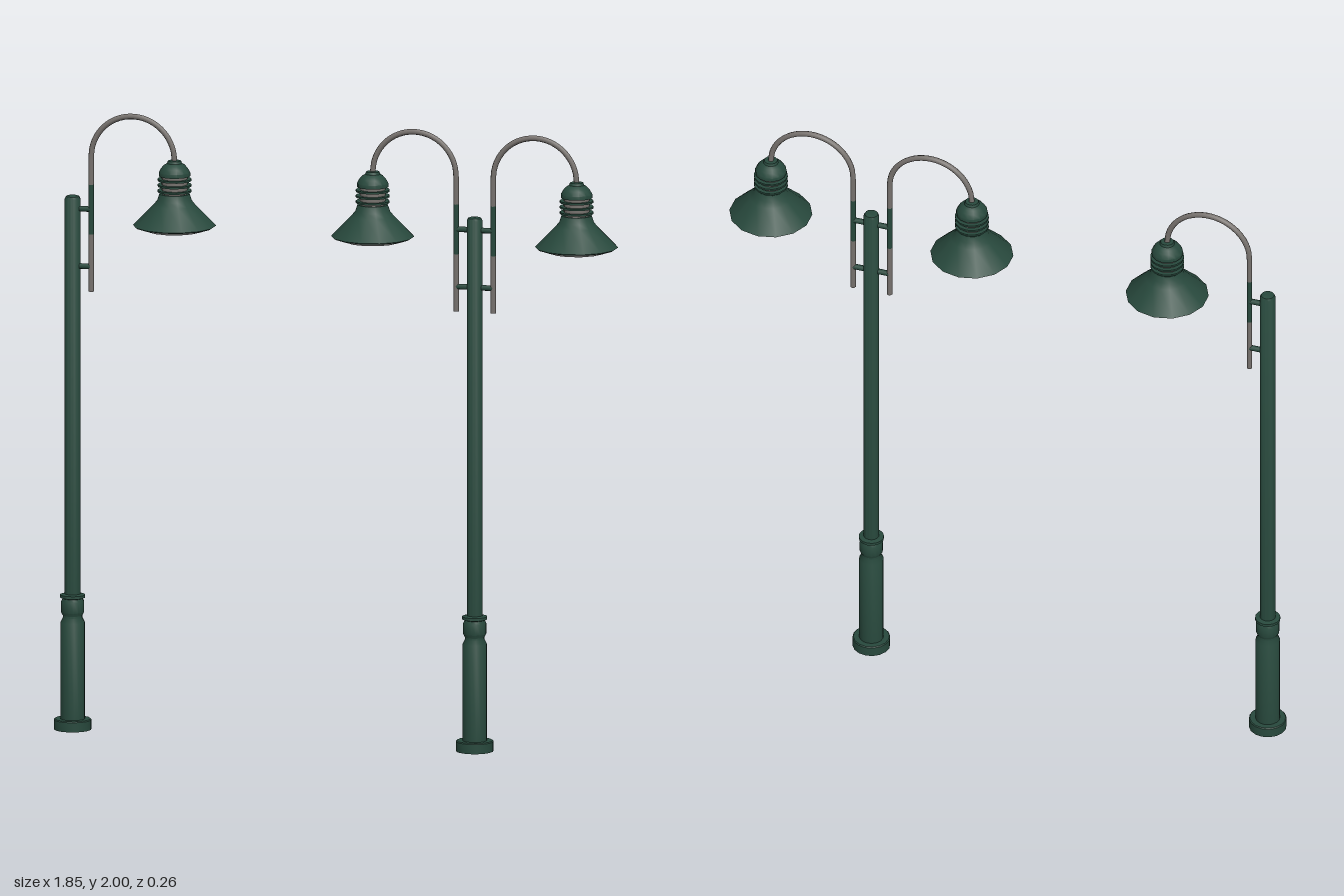
import * as THREE from 'three';
import { toCreasedNormals } from 'three/addons/utils/BufferGeometryUtils.js';

const paint = new THREE.MeshStandardMaterial({ color: 0x28493d });
paint.name = 'dark green paint';
const metal = new THREE.MeshStandardMaterial({ color: 0x78736f });
metal.name = 'worn grey metal';
const glass = new THREE.MeshStandardMaterial({ color: 0xa3a1a0 });
glass.name = 'pale grey glass';

function add(parent, name, geometry, material, x = 0, y = 0) {
  const mesh = new THREE.Mesh(geometry, material);
  mesh.name = name;
  mesh.position.set(x, y, 0);
  parent.add(mesh);
  return mesh;
}

// Turned part from [radius, height] pairs, listed bottom to top
function turned(profile, sides) {
  const points = profile.map(([r, y]) => new THREE.Vector2(r, y));
  return toCreasedNormals(new THREE.LatheGeometry(points, sides), 0.6);
}

// Lamp head hanging at the end of an arm
function createLamp() {
  const lamp = new THREE.Group();
  lamp.name = 'lamp';
  add(lamp, 'shade', turned([
    [0.126, 1.639], [0.132, 1.643], [0.068, 1.708], [0.055, 1.724], [0.048, 1.745], [0, 1.745],
  ], 14), paint);
  add(lamp, 'lens', turned([
    [0, 1.617], [0.05, 1.62], [0.09, 1.627], [0.126, 1.639],
  ], 14), glass);
  add(lamp, 'neck', new THREE.CylinderGeometry(0.041, 0.041, 0.07, 14), metal, 0, 1.775);
  for (const y of [1.754, 1.772, 1.79]) {
    add(lamp, 'coolingRing', new THREE.CylinderGeometry(0.054, 0.054, 0.006, 14), paint, 0, y);
  }
  add(lamp, 'cap', turned([
    [0, 1.802], [0.05, 1.802], [0.05, 1.814], [0.042, 1.828], [0.034, 1.837],
    [0.024, 1.843], [0.021, 1.851], [0, 1.853],
  ], 14), paint);
  return lamp;
}

// Swan-neck arm reaching towards +x, with its lamp
function createArm() {
  const arm = new THREE.Group();
  arm.name = 'arm';
  const inner = 0.061, outer = 0.336, radius = (outer - inner) / 2;
  add(arm, 'lowerTube', new THREE.CylinderGeometry(0.009, 0.009, 0.185, 8), metal, inner, 1.5075);
  add(arm, 'paintedTube', new THREE.CylinderGeometry(0.009, 0.009, 0.16, 8), paint, inner, 1.68);

  const path = new THREE.CurvePath();
  const springY = 1.849, middle = inner + radius;
  path.add(new THREE.LineCurve3(
    new THREE.Vector3(inner, 1.76, 0), new THREE.Vector3(inner, springY, 0)));
  const arc = [];
  for (let i = 0; i <= 12; i++) {
    const a = Math.PI * (1 - i / 12);
    arc.push(new THREE.Vector3(middle + radius * Math.cos(a), springY + radius * Math.sin(a), 0));
  }
  path.add(new THREE.CatmullRomCurve3(arc));
  add(arm, 'curvedTube', new THREE.TubeGeometry(path, 32, 0.009, 8), metal);

  // Short brackets joining the tube to the post
  for (const y of [1.495, 1.68]) {
    const bracket = add(arm, 'bracket',
      new THREE.CylinderGeometry(0.009, 0.009, inner, 8), paint, inner / 2, y);
    bracket.rotation.z = Math.PI / 2;
  }
  const lamp = createLamp();
  lamp.position.x = outer;
  arm.add(lamp);
  return arm;
}

// Post with a turned pedestal
function createPost() {
  const post = new THREE.Group();
  post.name = 'post';
  add(post, 'basePlate', turned([
    [0, 0], [0.06, 0], [0.06, 0.031], [0.057, 0.034], [0, 0.034],
  ], 16), paint);
  add(post, 'pedestal', turned([
    [0.039, 0.034], [0.039, 0.345], [0.031, 0.361], [0.031, 0.367], [0.037, 0.378],
    [0.037, 0.412], [0.032, 0.422], [0.04, 0.425], [0.04, 0.434], [0.024, 0.437],
  ], 16), paint);
  add(post, 'shaft', turned([
    [0.025, 0.43], [0.025, 1.711], [0.021, 1.719], [0.012, 1.722], [0, 1.722],
  ], 16), paint);
  return post;
}

export function createModel() {
  const model = new THREE.Group();
  model.name = 'streetLamps';

  const single = new THREE.Group();
  single.name = 'singleStreetLamp';
  single.add(createPost(), createArm());
  single.position.x = -0.866;

  const double = new THREE.Group();
  double.name = 'doubleStreetLamp';
  const oppositeArm = createArm();
  oppositeArm.rotation.y = Math.PI;
  double.add(createPost(), createArm(), oppositeArm);
  double.position.x = 0.459;

  model.add(single, double);
  return model;
}
